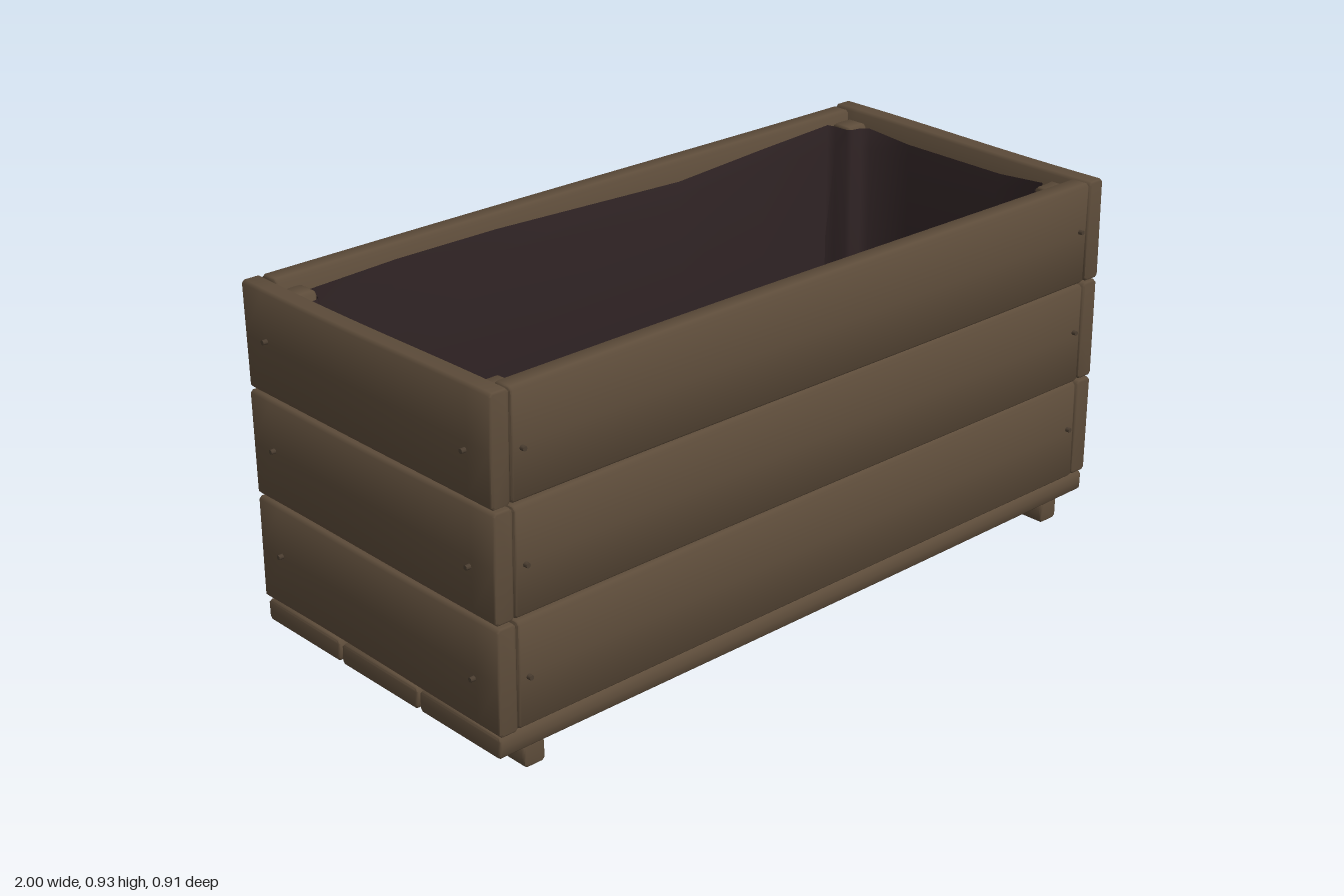
import * as THREE from 'three';
import { mergeVertices, toCreasedNormals } from 'three/addons/utils/BufferGeometryUtils.js';

export function createModel() {
  const wood = new THREE.MeshStandardMaterial({ color: 0x5d4c3a });
  wood.name = 'brown wood';
  const lining = new THREE.MeshStandardMaterial({ color: 0x2f2324, side: THREE.DoubleSide });
  lining.name = 'dark lining';
  const iron = new THREE.MeshStandardMaterial({ color: 0x4a3d30 });
  iron.name = 'nail iron';

  const model = new THREE.Group();
  model.name = 'planterBox';
  let seed = 0;

  // Softly worn, slightly twisted plank: length along x, height y, thickness z
  function plankGeometry(length, height, thick, warp) {
    const b = 0.006, h = height / 2 - b, t = thick / 2 - b, c = 0.004;
    const s = new THREE.Shape([
      [-t + c, -h], [t - c, -h], [t, -h + c], [t, 0], [t, h - c],
      [t - c, h], [-t + c, h], [-t, h - c], [-t, 0], [-t, -h + c],
    ].map(([x, y]) => new THREE.Vector2(x, y)));
    let g = new THREE.ExtrudeGeometry(s, {
      depth: length - 2 * b, steps: 12, bevelEnabled: true,
      bevelSize: b, bevelThickness: b, bevelSegments: 2,
    });
    g.translate(0, 0, b - length / 2);
    g.rotateY(Math.PI / 2);
    const phase = 1.7 * seed++;
    const p = g.attributes.position;
    for (let i = 0; i < p.count; i++) {
      const u = p.getX(i) / length, v = p.getY(i) / height;
      p.setZ(i, p.getZ(i) + warp * Math.sin(4 * u + phase) * v);
      p.setY(i, p.getY(i) + warp * 0.35 * Math.sin(5 * u + phase * 2));
    }
    g.deleteAttribute('uv');
    g.deleteAttribute('normal');
    g = mergeVertices(g, 1e-4);
    return toCreasedNormals(g, 0.9);
  }

  function plank(name, length, height, thick, x, y, z, turn = 0, warp = 0.005) {
    const m = new THREE.Mesh(plankGeometry(length, height, thick, warp), wood);
    m.name = name;
    m.position.set(x, y, z);
    m.rotation.y = turn;
    model.add(m);
  }

  const nailGeometry = new THREE.CylinderGeometry(0.006, 0.007, 0.02, 8);
  function nail(x, y, z, alongX) {
    const m = new THREE.Mesh(nailGeometry, iron);
    m.name = 'nail';
    m.position.set(x, y, z);
    if (alongX) m.rotation.z = -Math.sign(x) * Math.PI / 2;
    else m.rotation.x = Math.sign(z) * Math.PI / 2;
    model.add(m);
  }

  // Three courses of side boards with their nails
  for (const y of [0.253, 0.525, 0.797]) {
    for (const s of [-1, 1]) {
      plank('longBoard', 1.865, 0.266, 0.056, 0, y, s * 0.415);
      plank('endBoard', 0.886, 0.266, 0.052, s * 0.962, y, 0, s * Math.PI / 2);
      for (const k of [-1, 1]) {
        nail(k * 0.905, y + k * 0.009, s * 0.444, false);
        nail(s * 0.99, y - 0.005 - k * 0.012, k * 0.358, true);
      }
    }
  }

  // Floor slats and the two runners below them
  for (const z of [-0.294, 0, 0.294]) plank('floorSlat', 1.97, 0.054, 0.286, 0, 0.088, z, 0, 0.002);
  for (const s of [-1, 1]) plank('runner', 0.842, 0.062, 0.06, s * 0.877, 0.031, 0, Math.PI / 2, 0.002);

  // Corner posts
  for (const x of [-0.9, 0.9]) {
    for (const z of [-0.353, 0.353]) plank('cornerPost', 0.064, 0.79, 0.064, x, 0.51, z, 0, 0.002);
  }

  // Cloth lining that wraps round the posts and sags between them
  const corner = [[0.924, 0.16], [0.924, 0.30], [0.905, 0.315], [0.872, 0.318], [0.862, 0.328],
    [0.858, 0.365], [0.845, 0.382], [0.6, 0.382], [0.3, 0.382]];
  const outline = [];
  for (const [sx, sz] of [[1, 1], [-1, 1], [-1, -1], [1, -1]]) {
    const part = corner.map(([x, z]) => [x * sx, z * sz]);
    outline.push(...(sx * sz > 0 ? part : part.reverse()));
  }
  const levels = [[0.895, 0], [0.84, 0.008], [0.6, 0.022], [0.35, 0.026], [0.19, 0.02], [0.14, 0.035], [0.125, 0.07]];
  const n = outline.length, pos = [], idx = [];
  levels.forEach(([y, inset], r) => {
    outline.forEach(([x, z]) => {
      const sag = Math.abs(z) > 0.37 ? Math.cos(x * 1.7) : 0.4;
      const k = inset * (0.6 + 0.6 * sag);
      const wave = r === 0 ? 0.012 * Math.sin(x * 5 + z * 7) - 0.012 * sag : 0;
      pos.push(x - Math.sign(x) * inset * 0.7, y + wave, z - Math.sign(z) * k);
    });
    if (r > 0) for (let i = 0; i < n; i++) {
      const j = (i + 1) % n, a = (r - 1) * n, b = r * n;
      idx.push(a + i, a + j, b + i, a + j, b + j, b + i);
    }
  });
  pos.push(0, 0.122, 0);
  const last = (levels.length - 1) * n;
  for (let i = 0; i < n; i++) idx.push(last + i, last + (i + 1) % n, levels.length * n);
  const g = new THREE.BufferGeometry();
  g.setAttribute('position', new THREE.Float32BufferAttribute(pos, 3));
  g.setIndex(idx);
  const liner = new THREE.Mesh(toCreasedNormals(g, 1.0), lining);
  liner.name = 'liner';
  model.add(liner);

  return model;
}
